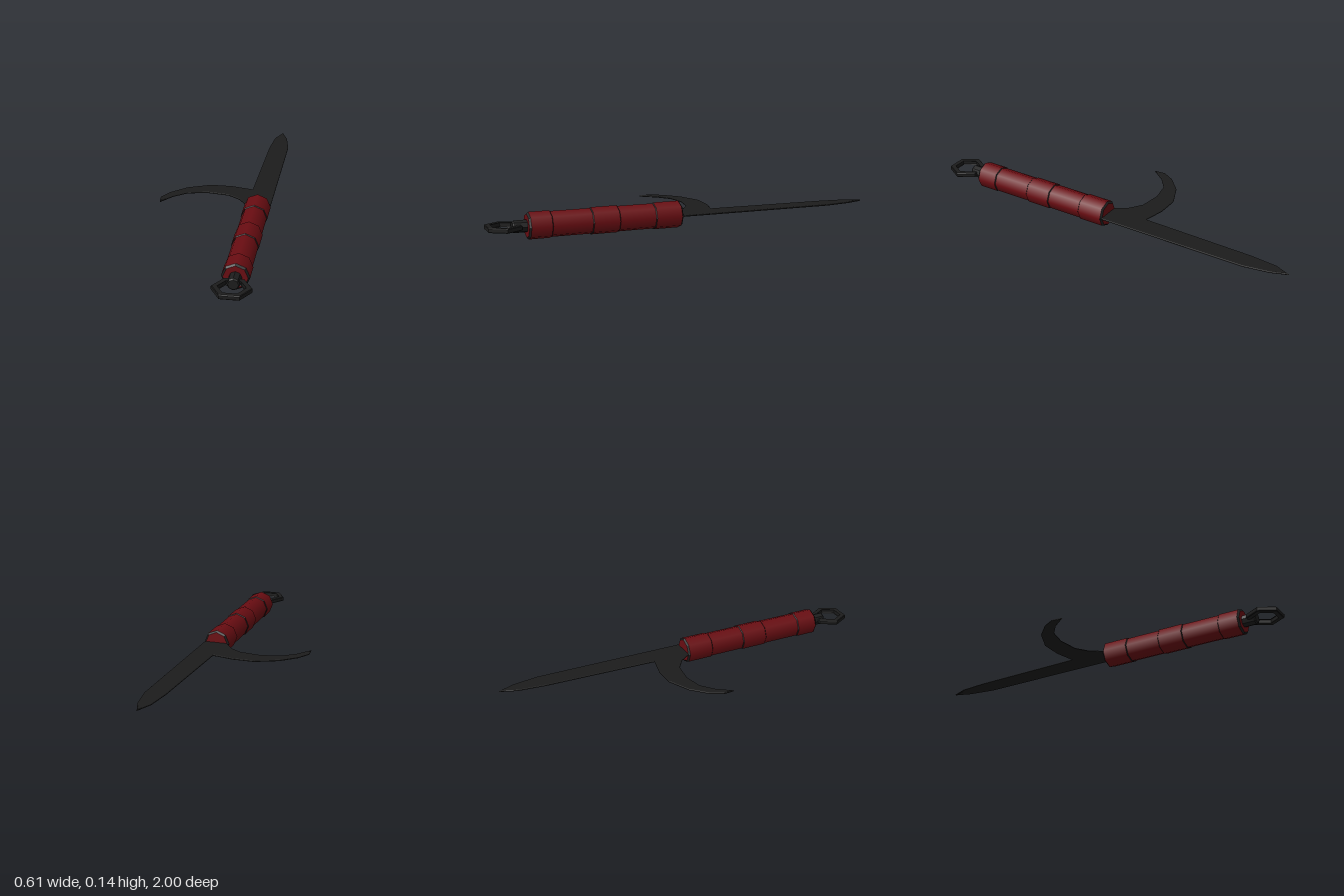
import * as THREE from 'three';

const X = 0.207, Y = 0.068; // handle axis
const red = new THREE.MeshStandardMaterial({ color: 0x6a0d12, side: THREE.DoubleSide });
const black = new THREE.MeshStandardMaterial({ color: 0x1c1c1c, side: THREE.DoubleSide });
const blackFlat = black.clone();
blackFlat.flatShading = true;

function part(name, geometry, material, parent) {
  const mesh = new THREE.Mesh(geometry, material);
  mesh.name = name;
  parent.add(mesh);
  return mesh;
}

// Eight-sided surface around the handle axis from [radius, z] pairs
function turned(profile) {
  const g = new THREE.LatheGeometry(profile.map(([r, z]) => new THREE.Vector2(r, z)), 8);
  return g.rotateX(Math.PI / 2).translate(X, Y, 0);
}

// Shape outline from [x, z] pairs, laid flat once extruded
const outline = (pts) => pts.map(([x, z]) => new THREE.Vector2(x, -z));

const hexagon = (r, cx, cz) => Array.from({ length: 6 }, (_, i) => {
  const a = (i * Math.PI) / 3;
  return [cx + r * Math.cos(a), cz + r * Math.sin(a)];
});

export function createModel() {
  const model = new THREE.Group();
  model.name = 'hookedKnife';

  // Grip: raised bands alternating with slimmer sections
  const handle = new THREE.Group();
  handle.name = 'handle';
  model.add(handle);
  const R = 0.068, W = 0.064;
  const sections = [
    [R, 0.026, 0.158], [W, 0.162, 0.346], [R, 0.35, 0.482],
    [W, 0.486, 0.686], [R, 0.69, 0.794],
  ];
  sections.forEach(([r, z0, z1], i) => {
    part(r === R ? 'gripBand' : 'gripSection', turned([[r, z0], [r, z1]]), red, handle);
    const next = sections[i + 1];
    if (next) part('gripStep', turned([[r, z1], [next[0], next[1]]]), blackFlat, handle);
  });

  // Dark chamfered rims and red end caps
  part('rearRim', turned([[R, 0.794], [0.059, 0.803]]), blackFlat, handle);
  part('rearCap', turned([[0.059, 0.803], [0, 0.803]]), red, handle);
  part('frontRim', turned([[0.059, 0.018], [R, 0.026]]), blackFlat, handle);
  part('frontCap', turned([[0, 0.018], [0.059, 0.018]]), red, handle);

  // Pommel stud and hexagonal lanyard ring
  part('pommelStud', turned([[0.031, 0.795], [0.031, 0.868], [0.025, 0.875], [0, 0.875]]), blackFlat, model);
  const ringShape = new THREE.Shape(outline(hexagon(0.095, X, 0.917)));
  ringShape.holes.push(new THREE.Path(outline(hexagon(0.07, X, 0.917))));
  const ring = new THREE.ExtrudeGeometry(ringShape, {
    depth: 0.017, bevelEnabled: true, bevelSegments: 1,
    bevelSize: 0.003, bevelThickness: 0.003, bevelOffset: -0.003,
  });
  ring.rotateX(-Math.PI / 2).translate(0, Y + 0.001 - 0.0085, 0);
  part('lanyardRing', ring, blackFlat, model);

  // Thin blade with the side hook in one outline
  const bladeShape = new THREE.Shape(outline([
    [0.273, 0.022], [0.278, -0.78], [0.256, -0.915], [0.223, -1.0],
    [0.188, -0.915], [0.173, -0.77], [0.156, -0.175],
    [0.045, -0.2], [-0.071, -0.2], [-0.188, -0.148], [-0.267, -0.074],
    [-0.304, -0.008], [-0.298, 0.05], [-0.24, -0.026], [-0.172, -0.08],
    [-0.071, -0.1], [0.04, -0.085], [0.103, -0.042], [0.14, 0.01], [0.15, 0.022],
  ]));
  const blade = new THREE.ExtrudeGeometry(bladeShape, {
    depth: 0.003, bevelEnabled: true, bevelSegments: 1,
    bevelSize: 0.005, bevelThickness: 0.0025, bevelOffset: -0.005,
  });
  blade.rotateX(-Math.PI / 2).translate(0, Y + 0.001 - 0.0015, 0);
  part('bladeWithHook', blade, blackFlat, model);

  return model;
}
